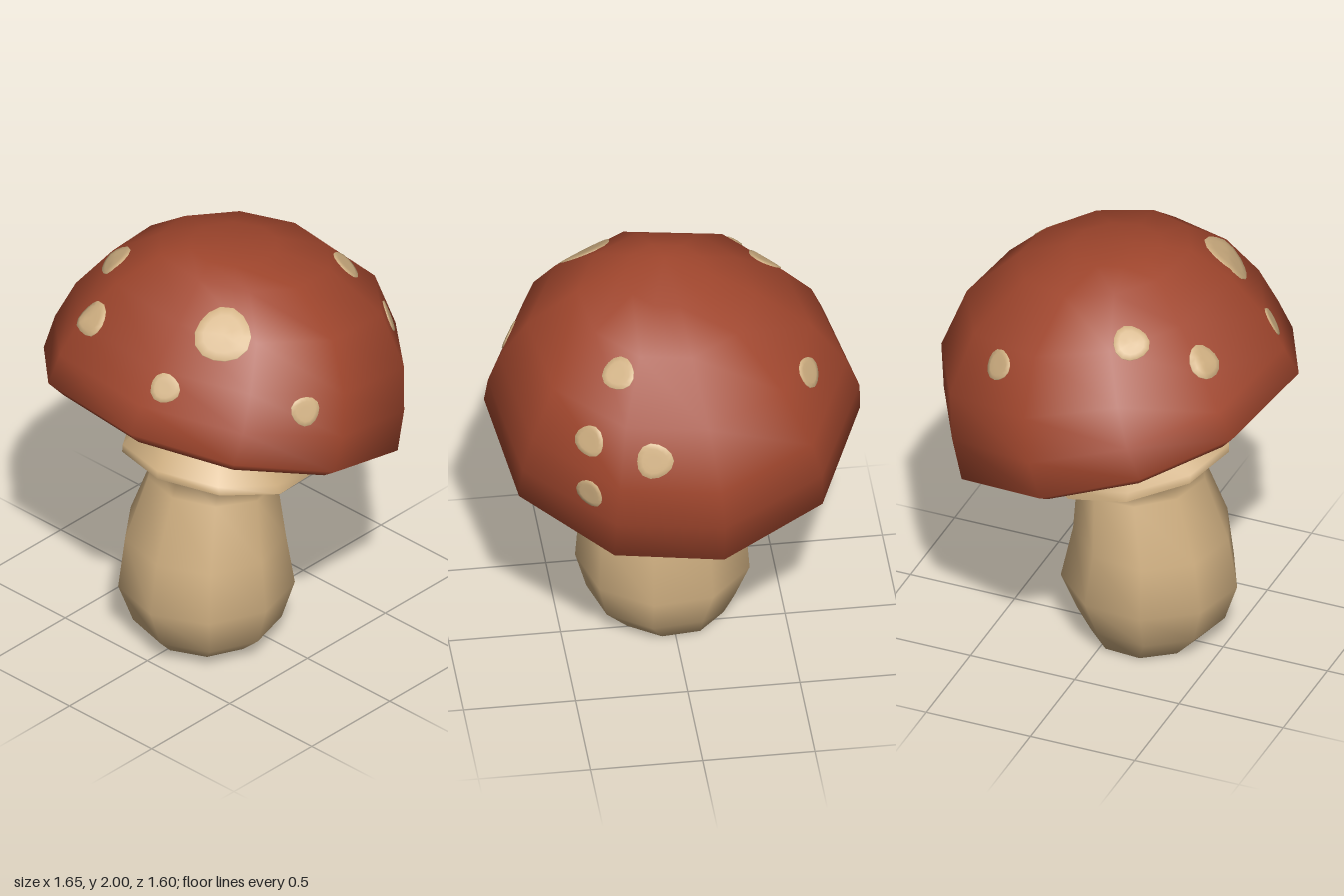
import * as THREE from 'three';
import { mergeVertices } from 'three/addons/utils/BufferGeometryUtils.js';

// Unit outlines, running from the front (+z) towards +x
const capOutline = [[.17, .79], [.6, .57], [.82, .14], [.73, -.38], [.35, -.73],
  [-.13, -.8], [-.6, -.55], [-.83, -.06], [-.72, .39], [-.4, .71]].map(([x, z]) => [x / .825, z / .8]);
const stemOutline = Array.from({ length: 9 }, (_, i) => {
  const a = (i / 9) * Math.PI * 2 + 0.1;
  return [Math.sin(a) * 1.01, Math.cos(a) * 1.01];
});

// Skin tilted rings, each [centre x, half width, front z, front y, back z, back y]
function loft(outline, rings) {
  const n = outline.length, pos = [], index = [];
  for (const [cx, w, zf, yf, zb, yb] of rings) {
    for (const [ux, uz] of outline) {
      pos.push(cx + w * ux, (yf + yb) / 2 + (yf - yb) / 2 * uz, (zf + zb) / 2 + (zf - zb) / 2 * uz);
    }
  }
  for (let i = 0; i < rings.length - 1; i++) {
    for (let j = 0; j < n; j++) {
      const a = i * n + j, b = i * n + (j + 1) % n;
      index.push(a, b, a + n, b, b + n, a + n);
    }
  }
  let g = new THREE.BufferGeometry();
  g.setAttribute('position', new THREE.Float32BufferAttribute(pos, 3));
  g.setIndex(index);
  g = mergeVertices(g);
  g.computeVertexNormals();
  return g;
}

// Thin round patch that follows the cap surface
function spotGeometry(cap, [x, y, z, r]) {
  const origin = new THREE.Vector3(0, 1.2, 0);
  const ray = new THREE.Raycaster();
  const cast = (target) => {
    ray.set(origin, target.clone().sub(origin).normalize());
    return ray.intersectObject(cap)[0];
  };
  const { point: centre, face } = cast(new THREE.Vector3(x, y, z));
  const u = new THREE.Vector3(0, 1, 0).cross(face.normal).normalize();
  const v = face.normal.clone().cross(u);
  const n = 14, rings = [[0, .008], [.35, .008], [.7, .008], [1, .006], [1.03, -.004]];
  const pos = [], index = [];
  rings.forEach(([s, lift], i) => {
    for (let j = 0; j < n; j++) {
      const a = (j / n) * Math.PI * 2, k = r * s * (1 + .05 * Math.sin(3 * a + x * 9));
      const p = centre.clone().addScaledVector(u, Math.cos(a) * k).addScaledVector(v, Math.sin(a) * k);
      pos.push(...cast(p).point.addScaledVector(ray.ray.direction, lift).toArray());
      if (i) {
        const c = i * n + j, d = i * n + (j + 1) % n;
        index.push(c - n, c, d, c - n, d, d - n);
      }
    }
  });
  let g = new THREE.BufferGeometry();
  g.setAttribute('position', new THREE.Float32BufferAttribute(pos, 3));
  g.setIndex(index);
  g = mergeVertices(g);
  g.computeVertexNormals();
  return g;
}

export function createModel() {
  const model = new THREE.Group();
  model.name = 'mushroom';
  const red = new THREE.MeshStandardMaterial({ color: 0xa0462d });
  red.name = 'cap red';
  const tan = new THREE.MeshStandardMaterial({ color: 0xcfaf81 });
  tan.name = 'stem tan';

  const add = (name, geometry, material) => {
    const mesh = new THREE.Mesh(geometry, material);
    mesh.name = name;
    model.add(mesh);
  };

  // Cap dome with its turned-under lip, tilted up at the front
  const gillEdge = [0, .72, .69, 1.345, -.62, .935];
  const capGeometry = loft(capOutline, [
    gillEdge,
    [0, .755, .73, 1.335, -.66, .9],
    [0, .825, .8, 1.415, -.74, .91],
    [0, .815, .73, 1.53, -.785, 1.12],
    [.01, .76, .64, 1.68, -.805, 1.33],
    [.03, .625, .48, 1.84, -.7, 1.61],
    [.04, .39, .3, 1.965, -.47, 1.84],
    [.03, .19, .18, 1.985, -.23, 1.945],
    [.03, 0, .06, 2, .06, 2],
  ]);
  add('cap', capGeometry, red);

  // Shallow gills from the lip in to the neck
  add('gills', loft(capOutline, [
    [0, .25, .28, 1.3, -.22, 1.13],
    [0, .4, .42, 1.33, -.37, 1.08],
    gillEdge,
  ]), tan);

  // Bulging stem, running out under the skirt
  const hem = [.02, .42, .5, .99, -.33, .79];
  add('stem', loft(stemOutline, [
    [0, 0, .14, 0, .14, 0],
    [0, .25, .38, .01, -.11, .01],
    [.03, .33, .48, .11, -.18, .11],
    [.02, .39, .54, .29, -.25, .29],
    [.02, .37, .5, .53, -.19, .55],
    [.02, .29, .39, .83, -.18, .78],
    [.02, .28, .35, .95, -.18, .82],
    hem,
  ]), tan);

  // Skirt with a thin hem, narrowing to the neck and flaring into the gills
  add('skirtAndNeck', loft(stemOutline, [
    hem,
    [.02, .41, .5, 1.03, -.31, .84],
    [.01, .31, .38, 1.12, -.26, .98],
    [0, .26, .3, 1.22, -.24, 1.07],
    [0, .38, .42, 1.345, -.36, 1.11],
  ]), tan);

  // Pale spots: x, y, z, radius
  const spots = [
    [.35, 1.83, .385, .125], [-.31, 1.70, .55, .08], [-.45, 1.81, .25, .08],
    [.24, 1.62, .65, .065], [.71, 1.51, .23, .065], [.30, 1.77, -.45, .073],
    [.45, 1.51, -.58, .07], [.47, 1.26, -.65, .067], [.18, 1.48, -.73, .08],
    [-.58, 1.62, -.35, .068],
  ];
  const probe = new THREE.Mesh(capGeometry, new THREE.MeshStandardMaterial({ side: THREE.DoubleSide }));
  spots.forEach((s, i) => add('spot' + (i + 1), spotGeometry(probe, s), tan));
  return model;
}
